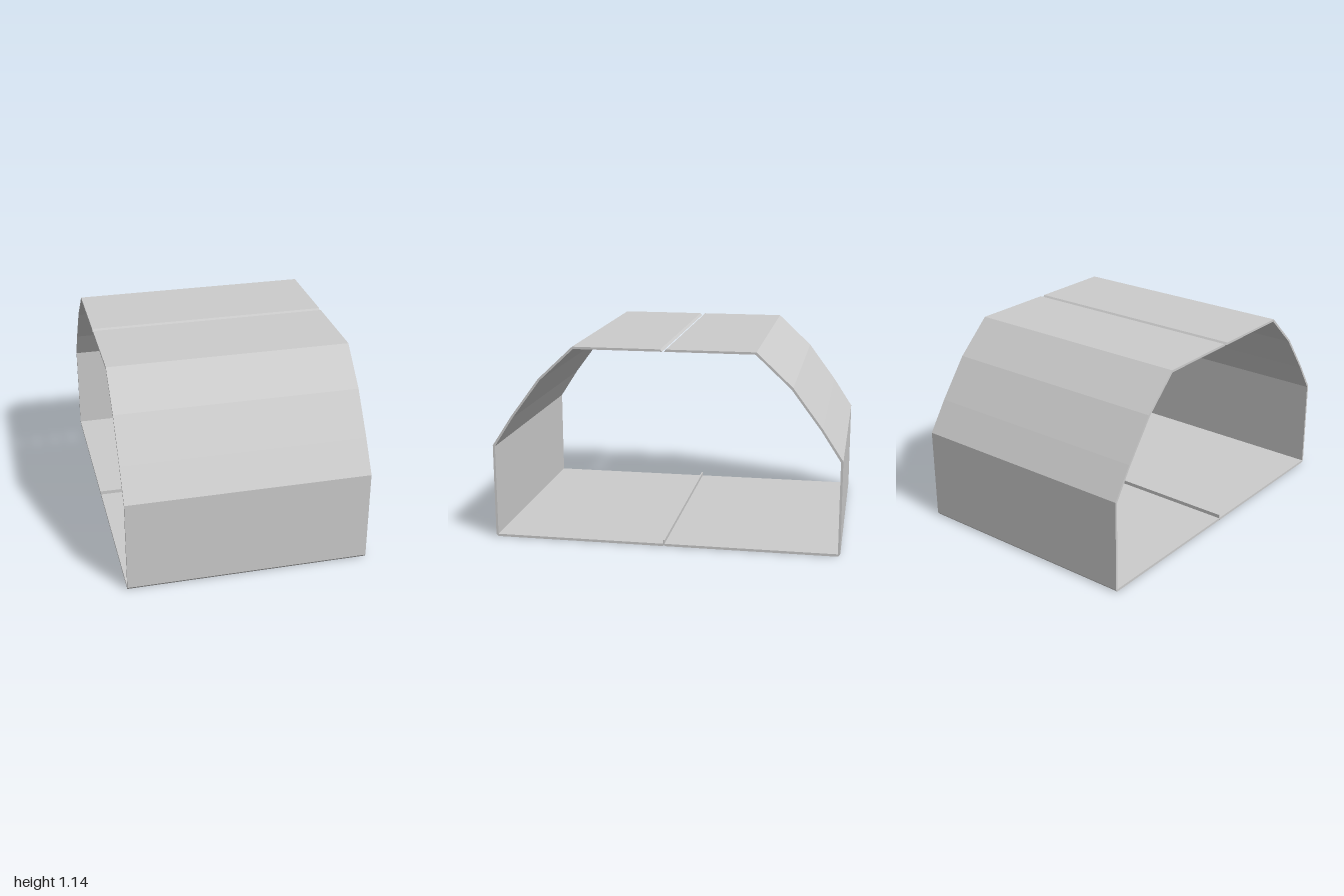
import * as THREE from 'three';

const WIDTH = 1.39;

// Half of the shell section as [z, y], from the floor seam round to the roof seam
const OUTER = [
  [0.004, 0], [0.988, 0], [1, 0.015], [1, 0.55], [0.885, 0.725],
  [0.718, 0.95], [0.515, 1.14], [0.016, 1.14],
];
const INNER = [
  [0.005, 1.127], [0.51, 1.127], [0.708, 0.942], [0.875, 0.718],
  [0.987, 0.545], [0.987, 0.014], [0.004, 0.014],
];

// Extrude a [z, y] section across the width, on the front (side 1) or back (side -1)
function extrudeAcross(points, side, name, material) {
  const shape = new THREE.Shape(points.map(([z, y]) => new THREE.Vector2(z * side, y)));
  const geometry = new THREE.ExtrudeGeometry(shape, { depth: WIDTH, bevelEnabled: false });
  geometry.translate(0, 0, -WIDTH / 2);
  geometry.rotateY(-Math.PI / 2);
  const mesh = new THREE.Mesh(geometry, material);
  mesh.name = name;
  return mesh;
}

export function createModel() {
  const group = new THREE.Group();
  group.name = 'tunnelShell';
  const material = new THREE.MeshStandardMaterial({ color: 0xcccccc, flatShading: true });

  // Two mirrored half shells, with a bevelled gap along the roof
  for (const [side, name] of [[1, 'frontHalfShell'], [-1, 'backHalfShell']]) {
    group.add(extrudeAcross([...OUTER, ...INNER], side, name, material));
  }

  // Thin upright lip along the floor seam
  const lip = [[-0.004, 0.006], [0.004, 0.006], [0.004, 0.036], [-0.004, 0.036]];
  group.add(extrudeAcross(lip, 1, 'floorSeamLip', material));

  return group;
}
